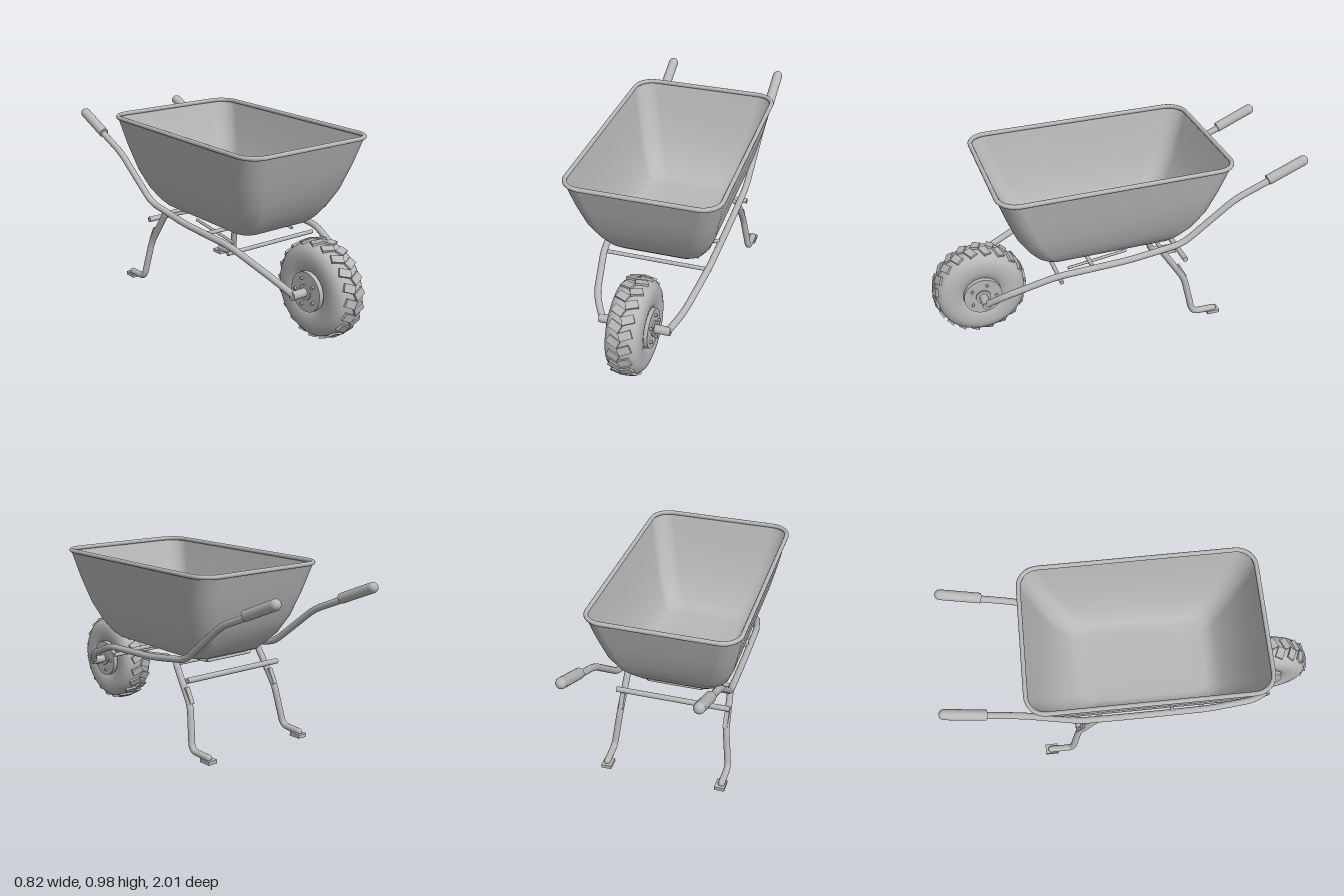
import * as THREE from 'three';

const steel = new THREE.MeshStandardMaterial({ color: 0xb8b8b8, side: THREE.DoubleSide });
steel.name = 'plain grey';
const V = (x, y, z) => new THREE.Vector3(x, y, z);

function add(parent, name, geometry, x = 0, y = 0, z = 0) {
  const mesh = new THREE.Mesh(geometry, steel);
  mesh.name = name;
  mesh.position.set(x, y, z);
  parent.add(mesh);
  return mesh;
}

// Straight capped rod between two points
function rod(parent, name, a, b, r, sides = 16) {
  const mesh = add(parent, name, new THREE.CylinderGeometry(r, r, a.distanceTo(b), sides));
  mesh.position.copy(a).lerp(b, 0.5);
  mesh.quaternion.setFromUnitVectors(V(0, 1, 0), b.clone().sub(a).normalize());
  return mesh;
}

// Tube through corner points, with each bend rounded off and the ends domed
function bentTube(parent, name, points, r, bend = 0.05) {
  const path = new THREE.CurvePath();
  let from = points[0];
  for (let i = 1; i < points.length - 1; i++) {
    const p = points[i];
    const cut = (q) => p.clone().add(q.clone().sub(p).setLength(Math.min(bend, p.distanceTo(q) * 0.45)));
    const enter = cut(points[i - 1]), leave = cut(points[i + 1]);
    path.add(new THREE.LineCurve3(from, enter));
    path.add(new THREE.QuadraticBezierCurve3(enter, p, leave));
    from = leave;
  }
  path.add(new THREE.LineCurve3(from, points[points.length - 1]));
  add(parent, name, new THREE.TubeGeometry(path, 80, r, 14));
  for (const p of [points[0], points[points.length - 1]])
    add(parent, name + 'End', new THREE.SphereGeometry(r, 14, 10), p.x, p.y, p.z);
}

// Rounded rectangle in plan, at one height
function ring(y, hx, front, back, r, steps = 8) {
  const out = [];
  const corners = [[hx - r, front - r], [-hx + r, front - r], [-hx + r, back + r], [hx - r, back + r]];
  corners.forEach(([cx, cz], k) => {
    for (let i = 0; i <= steps; i++) {
      const a = (k + i / steps) * Math.PI / 2;
      out.push(V(cx + r * Math.cos(a), y, cz + r * Math.sin(a)));
    }
  });
  return out;
}

function createTray() {
  const tray = new THREE.Group();
  tray.name = 'tray';
  // height, half width, front z, back z, corner radius
  const sections = [
    [0.477, 0.10, 0.30, -0.16, 0.05], [0.478, 0.20, 0.405, -0.265, 0.07],
    [0.49, 0.235, 0.445, -0.305, 0.08], [0.52, 0.265, 0.48, -0.338, 0.09],
    [0.58, 0.30, 0.525, -0.395, 0.095], [0.68, 0.338, 0.585, -0.455, 0.1],
    [0.82, 0.372, 0.64, -0.507, 0.1], [0.968, 0.40, 0.69, -0.555, 0.1],
  ];
  const rings = sections.map((s) => ring(...s));
  const n = rings[0].length, pos = [], index = [];
  rings.flat().forEach((p) => pos.push(p.x, p.y, p.z));
  for (let j = 0; j < rings.length - 1; j++)
    for (let i = 0; i < n; i++) {
      const a = j * n + i, b = j * n + (i + 1) % n;
      index.push(a, a + n, b, b, a + n, b + n);
    }
  // Floor centre
  pos.push(0, 0.477, 0.07);
  for (let i = 0; i < n; i++) index.push(rings.length * n, i, (i + 1) % n);
  const shell = new THREE.BufferGeometry();
  shell.setAttribute('position', new THREE.Float32BufferAttribute(pos, 3));
  shell.setIndex(index);
  shell.computeVertexNormals();
  add(tray, 'shell', shell);

  // Rolled rim
  const loop = new THREE.CurvePath();
  const top = ring(0.968, 0.398, 0.688, -0.553, 0.1);
  top.forEach((p, i) => loop.add(new THREE.LineCurve3(p, top[(i + 1) % n])));
  add(tray, 'rim', new THREE.TubeGeometry(loop, 200, 0.012, 10, true));
  return tray;
}

function createWheel() {
  const wheel = new THREE.Group();
  wheel.name = 'wheel';
  wheel.position.set(0, 0.262, 0.757);
  const half = [[0.098, 0.07], [0.115, 0.084], [0.145, 0.091], [0.185, 0.092],
    [0.215, 0.082], [0.235, 0.063], [0.243, 0.035]];
  const profile = [...half.map(([r, x]) => new THREE.Vector2(r, -x)), new THREE.Vector2(0.246, 0),
    ...half.map(([r, x]) => new THREE.Vector2(r, x)).reverse()];
  add(wheel, 'tyre', new THREE.LatheGeometry(profile, 56)).rotation.z = -Math.PI / 2;

  // Slanted tread blocks, staggered in two rows
  const count = 20;
  for (const s of [-1, 1])
    for (let i = 0; i < count; i++) {
      const spoke = new THREE.Group();
      spoke.name = 'treadBlock';
      spoke.rotation.x = ((i + (s > 0 ? 0.5 : 0)) / count) * Math.PI * 2;
      const block = add(spoke, 'block', new THREE.BoxGeometry(0.064, 0.018, 0.042), s * 0.028, 0.243, 0);
      block.rotation.set(0, s * 0.42, -s * 0.13);
      wheel.add(spoke);
    }

  rod(wheel, 'hub', V(-0.1, 0, 0), V(0.1, 0, 0), 0.104, 40);
  rod(wheel, 'axle', V(-0.19, 0, 0), V(0.19, 0, 0), 0.023);
  for (const s of [-1, 1]) {
    rod(wheel, 'hubBoss', V(s * 0.1, 0, 0), V(s * 0.108, 0, 0), 0.04, 24);
    for (let i = 0; i < 5; i++) {
      const a = (i / 5) * Math.PI * 2 + 0.65, y = 0.072 * Math.sin(a), z = 0.072 * Math.cos(a);
      rod(wheel, 'bolt', V(s * 0.098, y, z), V(s * 0.113, y, z), 0.008, 8);
    }
  }
  return wheel;
}

// One side of the frame: rail, grip, leg and foot
function createSide(s) {
  const side = new THREE.Group();
  side.name = s > 0 ? 'leftSide' : 'rightSide';
  const P = (x, y, z) => V(s * x, y, z);
  bentTube(side, 'rail', [P(0.175, 0.262, 0.757), P(0.235, 0.335, 0.67), P(0.29, 0.437, 0.4), P(0.298, 0.458, 0),
    P(0.31, 0.505, -0.3), P(0.322, 0.735, -0.59), P(0.325, 0.81, -0.77), P(0.327, 0.87, -0.9)], 0.018, 0.06);
  const a = P(0.326, 0.818, -0.77), b = P(0.328, 0.902, -0.968);
  rod(side, 'grip', a, b, 0.028, 20);
  add(side, 'gripEnd', new THREE.SphereGeometry(0.028, 20, 12), b.x, b.y, b.z);
  bentTube(side, 'leg', [P(0.288, 0.455, -0.2), P(0.298, 0.265, -0.325), P(0.325, 0.042, -0.373),
    P(0.322, 0.036, -0.5)], 0.018, 0.04);
  add(side, 'foot', new THREE.BoxGeometry(0.055, 0.02, 0.07), s * 0.318, 0.02, -0.497);
  // Gusset behind the leg
  const gusset = add(side, 'gusset', new THREE.BoxGeometry(0.025, 0.09, 0.014), s * 0.293, 0.315, -0.312);
  gusset.rotation.x = 0.5;
  // Tray support strips
  rod(side, 'trayRunner', P(0.15, 0.47, 0.37), P(0.15, 0.47, -0.28), 0.008, 8);
  rod(side, 'brace', P(0.2, 0.413, 0.31), P(0.2, 0.455, -0.02), 0.008, 8);
  return side;
}

export function createModel() {
  const model = new THREE.Group();
  model.name = 'wheelbarrow';
  model.add(createTray(), createWheel(), createSide(1), createSide(-1));

  // Cross bars: half length, y, z, radius
  const bars = [[0.29, 0.392, 0.37, 0.011], [0.315, 0.4, -0.322, 0.015], [0.29, 0.457, 0.2, 0.011],
    [0.29, 0.462, -0.2, 0.011], [0.15, 0.47, 0.36, 0.008], [0.15, 0.47, -0.28, 0.008]];
  for (const [hx, y, z, r] of bars) rod(model, 'crossBar', V(-hx, y, z), V(hx, y, z), r);
  return model;
}
